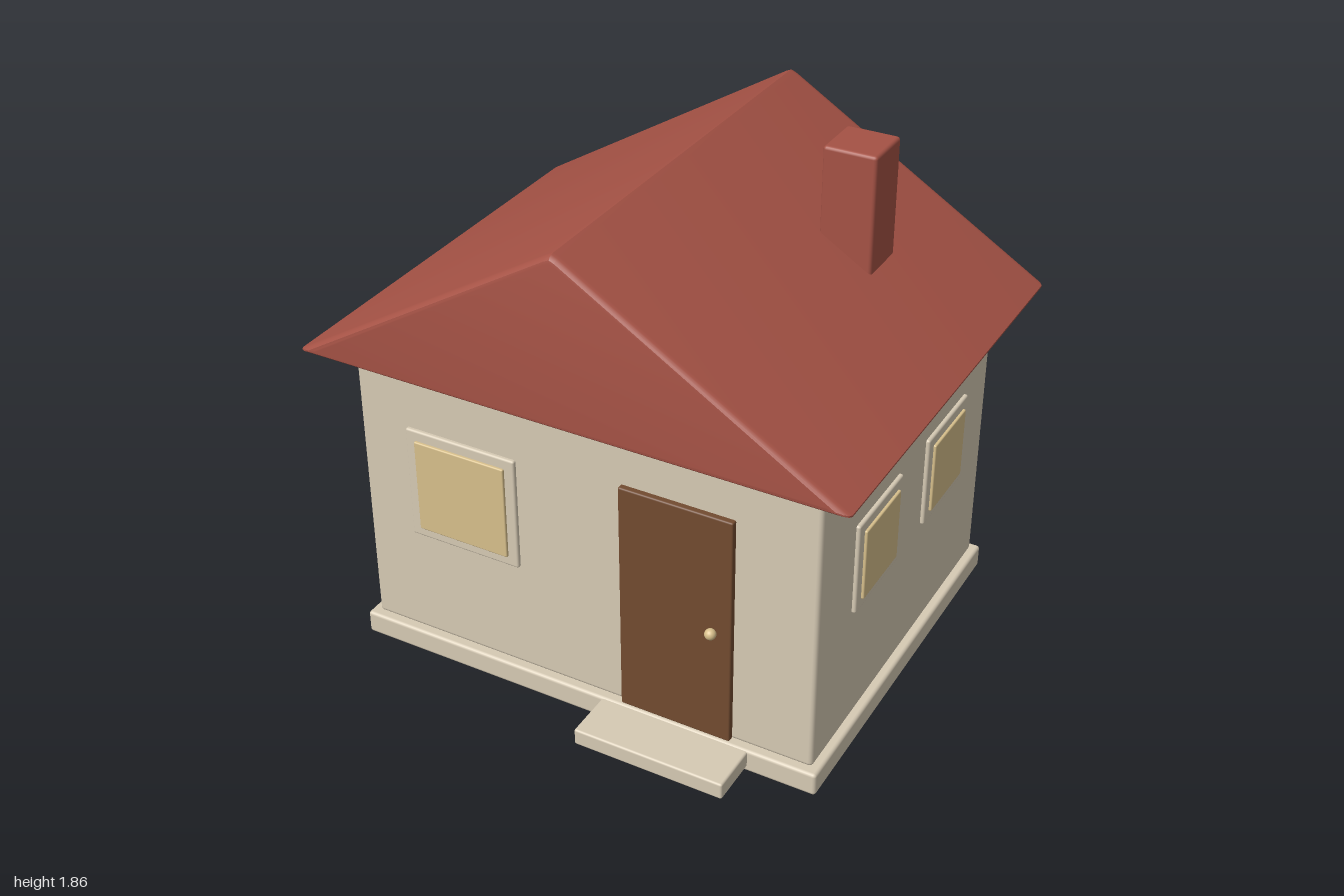
import * as THREE from 'three';
import { RoundedBoxGeometry } from 'three/addons/geometries/RoundedBoxGeometry.js';
import { toCreasedNormals } from 'three/addons/utils/BufferGeometryUtils.js';

const material = (name, color) => {
  const m = new THREE.MeshStandardMaterial({ color });
  m.name = name;
  return m;
};

// Gabled prism along z, its ends softened by rings shrunk toward the gable's incentre
function gableRoof(zBack, zFront) {
  const outline = [[-1, 1.197], [1, 1.197], [1, 1.203], [0.02, 1.801], [0, 1.81], [-0.02, 1.801], [-1, 1.203]];
  const centreY = 1.481, inradius = 0.281, inset = 0.02, depth = 0.03, steps = 4;
  const rings = [];
  const addRing = (z, d) => {
    const s = (inradius - d) / inradius;
    rings.push(outline.map(([x, y]) => [x * s, centreY + (y - centreY) * s, z]));
  };
  for (let i = 0; i <= steps; i++) {
    const a = (i / steps) * Math.PI / 2;
    addRing(zBack + depth * (1 - Math.cos(a)), inset * (1 - Math.sin(a)));
  }
  for (let i = steps; i >= 0; i--) {
    const a = (i / steps) * Math.PI / 2;
    addRing(zFront - depth * (1 - Math.cos(a)), inset * (1 - Math.sin(a)));
  }

  const pos = [];
  const tri = (a, b, c) => pos.push(...a, ...b, ...c);
  const n = outline.length;
  for (let r = 0; r < rings.length - 1; r++) {
    for (let j = 0; j < n; j++) {
      const k = (j + 1) % n;
      tri(rings[r][j], rings[r][k], rings[r + 1][k]);
      tri(rings[r][j], rings[r + 1][k], rings[r + 1][j]);
    }
  }
  const back = rings[0], front = rings[rings.length - 1];
  for (let j = 1; j < n - 1; j++) {
    tri(front[0], front[j], front[j + 1]);
    tri(back[0], back[j + 1], back[j]);
  }
  const g = new THREE.BufferGeometry();
  g.setAttribute('position', new THREE.Float32BufferAttribute(pos, 3));
  return toCreasedNormals(g, 0.45);
}

export function createModel() {
  const house = new THREE.Group();
  house.name = 'house';

  const plaster = material('plaster', 0xd6cab4);
  const roofRed = material('roofRed', 0xa55245);
  const doorBrown = material('doorBrown', 0x724b30);
  const paneYellow = material('paneYellow', 0xd8c08c);

  // Rounded box given by its extents on each axis
  const block = (name, mat, [x0, x1], [y0, y1], [z0, z1], radius, parent = house) => {
    const mesh = new THREE.Mesh(new RoundedBoxGeometry(x1 - x0, y1 - y0, z1 - z0, 2, radius), mat);
    mesh.position.set((x0 + x1) / 2, (y0 + y1) / 2, (z0 + z1) / 2);
    mesh.name = name;
    parent.add(mesh);
    return mesh;
  };

  // Base, step and walls
  block('foundation', plaster, [-0.895, 0.895], [0, 0.088], [-0.765, 0.685], 0.012);
  block('doorstep', plaster, [0.085, 0.645], [0.02, 0.083], [0.5, 0.865], 0.008);
  block('walls', plaster, [-0.865, 0.865], [0.085, 1.22], [-0.738, 0.652], 0.015);

  // Roof and chimney
  const roof = new THREE.Mesh(gableRoof(-0.865, 0.78), roofRed);
  roof.name = 'roof';
  house.add(roof);
  block('chimney', roofRed, [0.422, 0.614], [1.3, 1.862], [-0.4, -0.208], 0.012);

  // Door with a round knob
  block('door', doorBrown, [0.158, 0.572], [0.088, 0.975], [0.62, 0.674], 0.006);
  const knob = new THREE.Mesh(new THREE.SphereGeometry(0.02, 20, 14), paneYellow);
  knob.position.set(0.503, 0.525, 0.685);
  knob.name = 'doorKnob';
  house.add(knob);

  // Windows: a frame with a raised pane, modelled facing +z
  const addWindow = (name, size, pane, x, y, z, turn) => {
    const g = new THREE.Group();
    g.name = name;
    const f = size / 2, p = pane / 2;
    block('windowFrame', plaster, [-f, f], [-f, f], [-0.03, 0.014], 0.008, g);
    block('windowPane', paneYellow, [-p, p], [-p, p], [-0.03, 0.024], 0.005, g);
    g.position.set(x, y, z);
    g.rotation.y = turn;
    house.add(g);
  };
  addWindow('frontWindow', 0.432, 0.355, -0.457, 0.72, 0.652, 0);
  for (const z of [0.218, -0.347]) {
    addWindow('sideWindow', 0.346, 0.27, 0.865, 0.718, z, Math.PI / 2);
  }

  return house;
}
